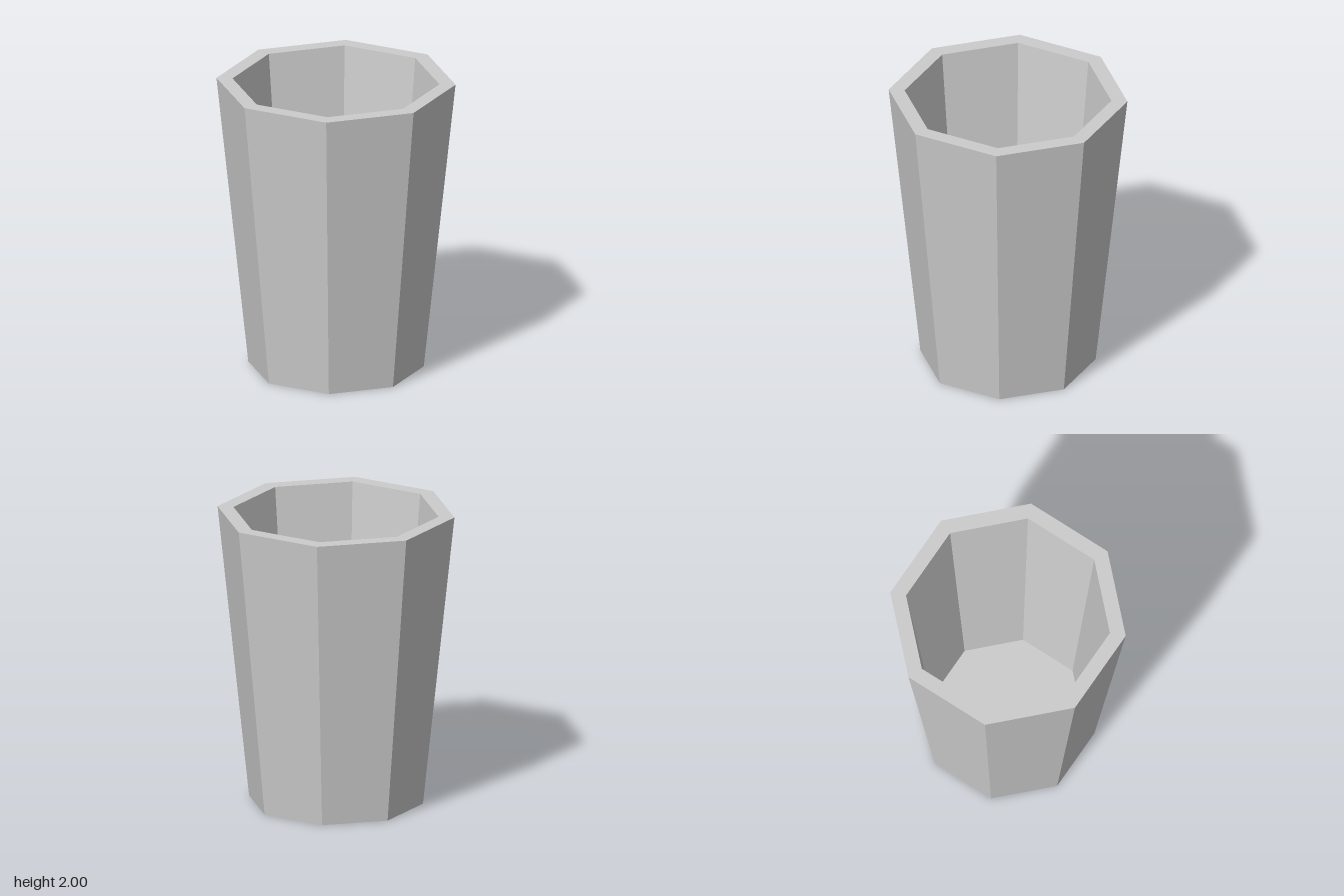
import * as THREE from 'three';

const SIDES = 8;

export function createModel() {
  const group = new THREE.Group();
  group.name = 'cup';

  // Closed wall profile: base, outer wall, flat rim, inner wall, inner floor
  const profile = [
    [0, 0],
    [0.585, 0],
    [0.797, 2],
    [0.69, 2],
    [0.517, 0.11],
    [0, 0.11],
  ].map(([r, y]) => new THREE.Vector2(r, y));

  // Eight-sided tapered cup with a corner on each axis
  const material = new THREE.MeshStandardMaterial({ color: 0xcccccc, flatShading: true });
  const body = new THREE.Mesh(new THREE.LatheGeometry(profile, SIDES), material);
  body.name = 'cupBody';
  group.add(body);

  return group;
}
